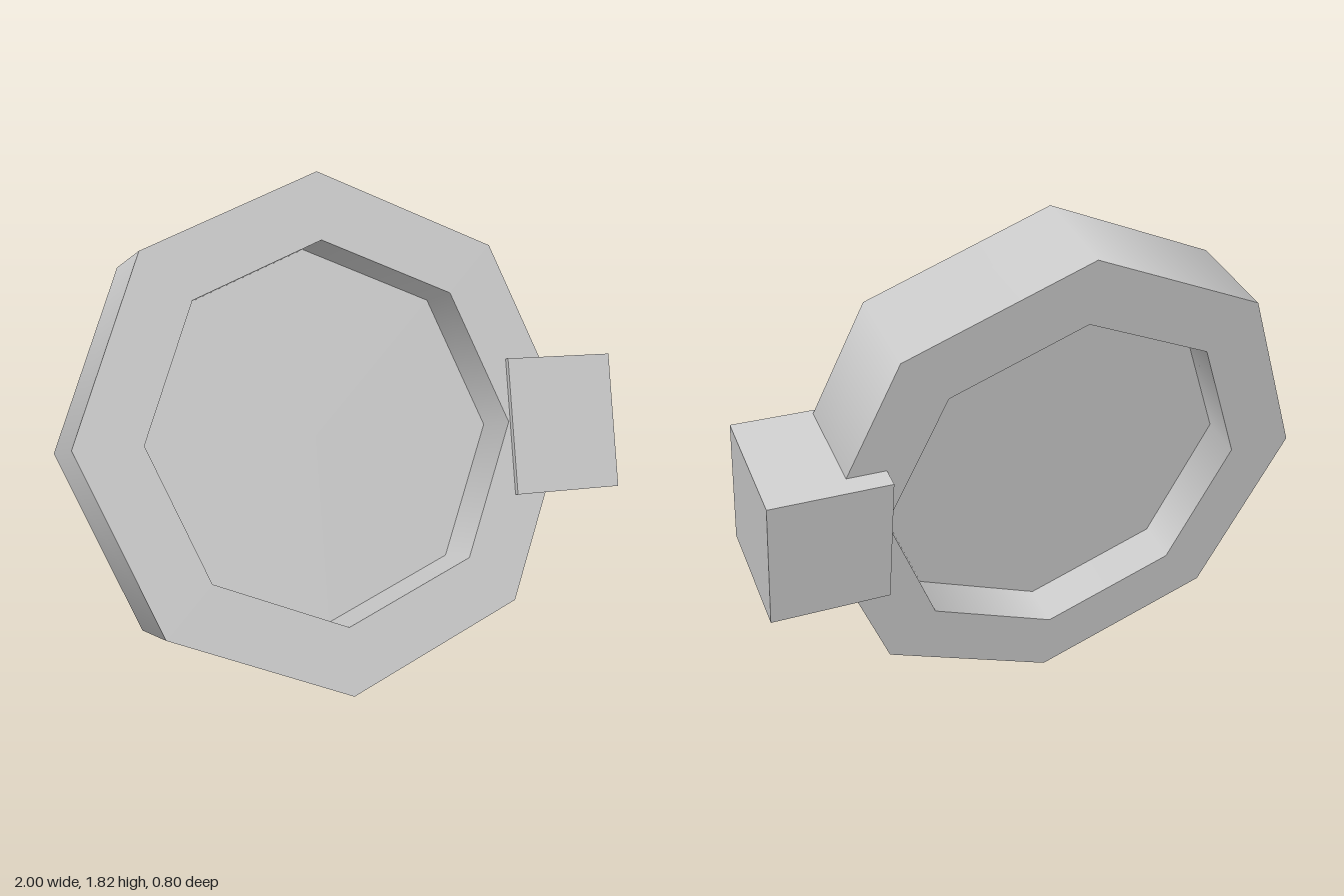
import * as THREE from 'three';

const SIDES = 8;
const OUTER = 0.895, INNER = 0.66, DEPTH = 0.36;

export function createModel() {
  const root = new THREE.Group();
  root.name = 'octagonalCase';
  const body = new THREE.Group();
  body.name = 'tiltedBody';
  root.add(body);

  const solid = new THREE.MeshStandardMaterial({ color: 0xcccccc });
  const thin = new THREE.MeshStandardMaterial({ color: 0xcccccc, side: THREE.DoubleSide });

  const add = (name, geometry, material) => {
    const mesh = new THREE.Mesh(geometry, material);
    mesh.name = name;
    body.add(mesh);
    return mesh;
  };

  // Smooth-shaded eight-sided walls, axis along local z
  const wall = r => new THREE.CylinderGeometry(r, r, DEPTH, SIDES, 1, true).rotateX(Math.PI / 2);
  add('outerWall', wall(OUTER), solid);
  add('innerWall', wall(INNER), thin);

  // Flat rims at the front and back
  const rim = () => new THREE.RingGeometry(INNER, OUTER, SIDES);
  add('frontRim', rim(), solid).position.z = DEPTH / 2;
  add('backRim', rim().rotateY(Math.PI), solid).position.z = -DEPTH / 2;

  // Thin recessed panel inside the ring
  add('panel', new THREE.CircleGeometry(INNER, SIDES), thin).position.z = -0.02;

  // Block set into the side of the ring
  add('sideBlock', new THREE.BoxGeometry(0.412, 0.485, 0.45), solid).position.set(0.872, -0.018, -0.026);

  // Lean the whole body back and turn it slightly
  const up = new THREE.Vector3(0, 0.967, -0.2545).normalize();
  const normal = new THREE.Vector3(0.9966, -0.02, -0.079).cross(up).normalize();
  const side = new THREE.Vector3().crossVectors(up, normal);
  body.quaternion.setFromRotationMatrix(new THREE.Matrix4().makeBasis(side, up, normal));
  body.position.set(-0.095, 0.915, 0);

  return root;
}
